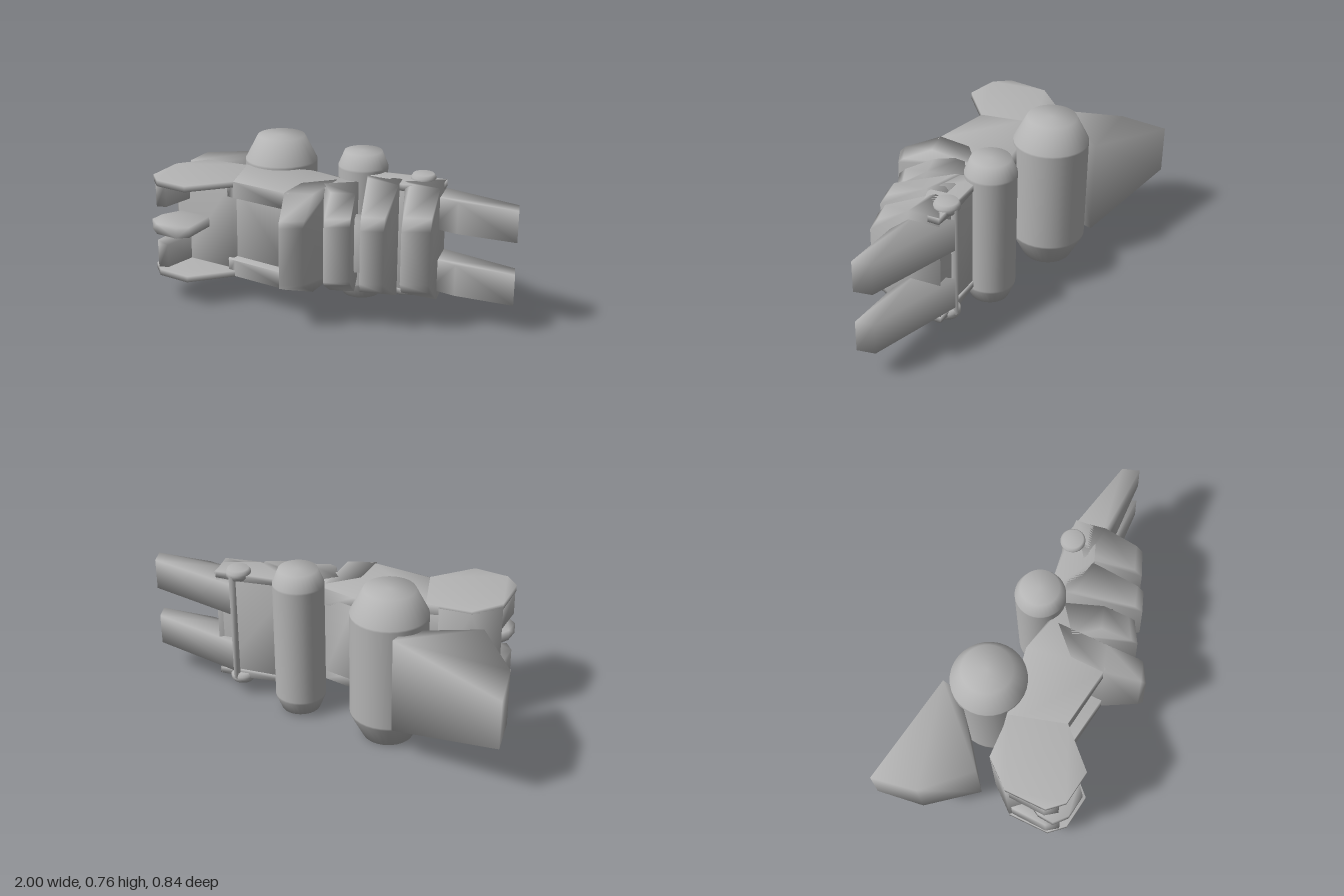
import * as THREE from 'three';
import { ConvexGeometry } from 'three/addons/geometries/ConvexGeometry.js';
import { mergeVertices } from 'three/addons/utils/BufferGeometryUtils.js';

const MID = 0.381; // height of the mirror plane

export function createModel() {
  const model = new THREE.Group();
  const grey = new THREE.MeshStandardMaterial({ color: 0xb4b4b4 });
  grey.name = 'grey metal';

  const add = (name, geometry) => {
    const mesh = new THREE.Mesh(geometry, grey);
    mesh.name = name;
    model.add(mesh);
    return mesh;
  };

  // Convex block with soft normals from plan corners [x, z, half height]
  const block = (name, corners, y = MID) => {
    const hull = new ConvexGeometry(corners.flatMap(([x, z, h]) => [
      new THREE.Vector3(x, y - h, z), new THREE.Vector3(x, y + h, z)]));
    hull.deleteAttribute('normal');
    const geometry = mergeVertices(hull);
    geometry.computeVertexNormals();
    return add(name, geometry);
  };
  const flat = (h, corners) => corners.map(([x, z]) => [x, z, h]);

  // Same block above and below the mirror plane
  const pair = (name, offset, corners) => {
    block('upper ' + name, corners, MID + offset);
    block('lower ' + name, corners, MID - offset);
  };

  // Upright drum with softly bevelled ends
  const drum = (name, x, y, z, r, capR, h, bevel) => {
    const profile = [[0, -h], [capR, -h], [r, bevel - h],
      [r, bevel + 0.01 - h], [r, h - bevel - 0.01], [r, h - bevel], [capR, h], [0, h]]
      .map(([a, b]) => new THREE.Vector2(a, b));
    add(name, new THREE.LatheGeometry(profile, 32)).position.set(x, y, z);
  };
  drum('large drum', -0.32, MID, -0.235, 0.182, 0.12, 0.38, 0.12);
  drum('medium drum', 0.15, MID, -0.295, 0.122, 0.093, 0.37, 0.07);
  drum('upper pin', 0.47, 0.661, -0.345, 0.06, 0.05, 0.025, 0.015);
  drum('lower pin', 0.47, 0.101, -0.345, 0.06, 0.05, 0.025, 0.015);

  // Tapered wing
  block('wing', [[-1, -0.405, 0.12], [-0.92, -0.19, 0.14], [-0.69, -0.02, 0.19],
    [-0.45, -0.405, 0.235], [-0.45, -0.3, 0.235]]);

  // Jaw at the outer end of the body
  block('jaw root', flat(0.235, [[-0.69, 0.15], [-0.61, 0], [-0.4, -0.055],
    [-0.3, 0], [-0.3, 0.165], [-0.62, 0.2]]));
  pair('jaw plate', 0.232, flat(0.015, [[-0.69, 0.15], [-0.61, 0], [-0.4, -0.055],
    [-0.27, 0.19], [-0.4, 0.395], [-0.57, 0.408], [-0.65, 0.35]]));
  pair('jaw lug', 0.16, flat(0.06, [[-0.68, 0.16], [-0.56, 0.16], [-0.56, 0.36],
    [-0.6, 0.385], [-0.65, 0.34]]));
  block('jaw hook', flat(0.026, [[-0.65, 0.3], [-0.6, 0.15], [-0.45, 0.15],
    [-0.41, 0.36], [-0.45, 0.41], [-0.57, 0.42], [-0.64, 0.38]]));

  // Body: a core with a recessed front panel between two slabs
  block('body core', flat(0.2, [[-0.47, -0.035], [-0.09, -0.195], [0.07, -0.195], [0.2, -0.18],
    [0.04, 0.11], [-0.3, 0.135]]));
  pair('body slab', 0.204, flat(0.041, [[-0.47, -0.035], [-0.09, -0.195], [0.07, -0.195],
    [0.2, -0.18], [0.05, 0.165], [-0.27, 0.19], [-0.31, 0.19]]));

  // Slanted ribs: root, shoulder, bevel and tip, each a pair of plan corners
  const ribs = [
    [[0, 0, 0.247], [0.1, -0.15, 0.247], [0.03, 0.165, 0.247], [0.15, 0.1, 0.247],
      [0.125, 0.32, 0.165], [0.21, 0.24, 0.165], [0.14, 0.34, 0.14], [0.22, 0.265, 0.14]],
    [[0.09, -0.06, 0.247], [0.2, -0.19, 0.247], [0.2, 0.03, 0.247], [0.3, -0.03, 0.247],
      [0.265, 0.16, 0.165], [0.355, 0.08, 0.165], [0.28, 0.188, 0.135], [0.37, 0.105, 0.135]],
    [[0.23, -0.22, 0.28], [0.4, -0.27, 0.28], [0.26, -0.18, 0.28], [0.44, -0.18, 0.28],
      [0.41, 0.075, 0.185], [0.505, 0.02, 0.185], [0.43, 0.108, 0.13], [0.52, 0.05, 0.13]],
    [[0.43, -0.25, 0.28], [0.565, -0.4, 0.28], [0.47, -0.23, 0.28], [0.62, -0.26, 0.28],
      [0.565, -0.04, 0.185], [0.675, -0.11, 0.185], [0.58, -0.005, 0.13], [0.69, -0.08, 0.13]],
  ];
  ribs.forEach((corners, i) => block('rib ' + (i + 1), corners));
  block('rib link', flat(0.13, [[0.26, -0.06], [0.33, 0.01], [0.44, -0.1], [0.36, -0.15]]));

  // Hub joining the outer ribs, with cover plates and a thin rear bar
  block('hub', flat(0.25, [[0.2, -0.28], [0.25, -0.2], [0.45, -0.2], [0.58, -0.3],
    [0.56, -0.385], [0.47, -0.345]]));
  pair('hub cover', 0.264, flat(0.016, [[0.2, -0.28], [0.25, -0.2], [0.45, -0.2],
    [0.6, -0.3], [0.57, -0.4], [0.44, -0.37]]));
  block('rear bar', flat(0.28, [[0.46, -0.38], [0.48, -0.38], [0.48, -0.405], [0.46, -0.405]]));

  // Two forked prongs
  pair('prong', 0.156, [[0.48, -0.405, 0.08], [0.955, -0.405, 0.077], [0.998, -0.33, 0.077],
    [0.72, -0.258, 0.077], [0.58, -0.26, 0.08]]);

  return model;
}
